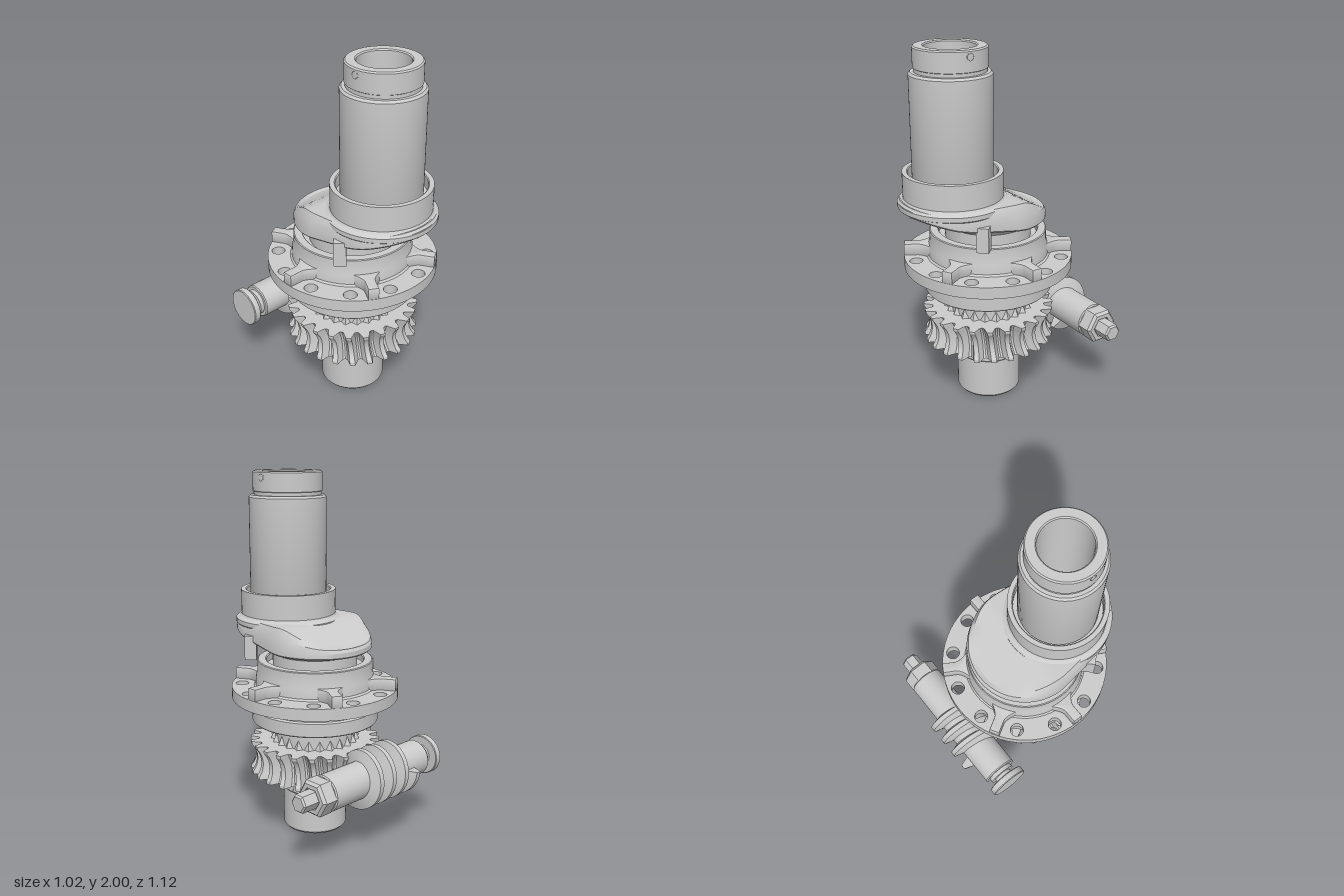
import * as THREE from 'three';
import { toCreasedNormals } from 'three/addons/utils/BufferGeometryUtils.js';

const X = -0.05, Z = 0.05, TOP_Z = 0.265; // main axis and offset pin axis
const material = new THREE.MeshStandardMaterial({ color: 0xcccccc });
const TAU = Math.PI * 2;

function part(name, geometry, parent, x = 0, y = 0, z = 0) {
  const mesh = new THREE.Mesh(toCreasedNormals(geometry, 0.5), material);
  mesh.name = name;
  mesh.position.set(x, y, z);
  parent.add(mesh);
  return mesh;
}

const lathe = (points, segments = 72) =>
  new THREE.LatheGeometry(points.map(([r, y]) => new THREE.Vector2(r, y)), segments);

// Skin a list of equal-length closed rings of [x, y, z]
function loft(rings) {
  const n = rings[0].length, index = [];
  for (let j = 0; j < rings.length - 1; j++) {
    for (let i = 0; i < n; i++) {
      const a = j * n + i, b = j * n + (i + 1) % n;
      index.push(a, b, b + n, a, b + n, a + n);
    }
  }
  const g = new THREE.BufferGeometry();
  g.setAttribute('position', new THREE.Float32BufferAttribute(rings.flat(2), 3));
  g.setIndex(index);
  return g;
}

// Throated worm wheel: tooth outline follows the worm's curvature at each height
function wormWheel() {
  const teeth = 24, half = 0.0925, rings = [];
  const ring = (d, tip, root) => {
    const pts = [];
    for (let k = 0; k < teeth; k++) {
      for (const [f, r] of [[-0.36, root], [-0.15, tip], [0.15, tip], [0.36, root], [0.5, root - 0.006]]) {
        const a = (k + f) / teeth * TAU - 0.35 * d;
        pts.push([r * Math.sin(a), d, r * Math.cos(a)]);
      }
    }
    return pts;
  };
  rings.push(ring(-half, 0.15, 0.15));
  for (let j = 0; j <= 12; j++) {
    const d = half * (j / 6 - 1);
    const tip = Math.min(0.366, 0.45 - Math.sqrt(0.115 ** 2 - d * d));
    rings.push(ring(d, tip, 0.45 - Math.sqrt(0.16 ** 2 - d * d)));
  }
  rings.push(ring(half, 0.15, 0.15));
  return loft(rings);
}

// Helical worm thread along x, trapezoid in section, closed at both ends
function wormThread(x0, x1, pitch) {
  const rings = [], steps = 140;
  for (let j = 0; j <= steps; j++) {
    const x = x0 + (x1 - x0) * j / steps;
    const t = Math.PI / 2 + (x - x0) / pitch * TAU;
    const at = (dx, r) => [x + dx, r * Math.cos(t), -r * Math.sin(t)];
    const section = [at(-0.014, 0.155), at(0.014, 0.155), at(0.036, 0.09), at(-0.036, 0.09)];
    const cap = section.map(() => at(0, 0.12));
    if (j === 0) rings.push(cap);
    rings.push(section);
    if (j === steps) rings.push(cap);
  }
  return loft(rings);
}

// Crank web: hull of two circles, rising from the main axis to the pin
function crankWeb() {
  const n = 96, mid = 0.16;
  const low = [[-0.3, 1.05], [0, 1.058], [0.2, 1.08], [0.4, 1.12], [0.56, 1.168]];
  const bottom = z => {
    const i = Math.max(1, low.findIndex(p => p[0] >= z));
    const [a, b] = [low[i - 1], low[i]];
    return a[1] + (b[1] - a[1]) * (z - a[0]) / (b[0] - a[0]);
  };
  const top = z => 1.095 + 0.11 * THREE.MathUtils.smoothstep(z, -0.25, 0.03);
  const ring = (s, height) => Array.from({ length: n }, (_, i) => {
    const a = i / n * TAU, c = Math.cos(a);
    const [cz, r] = TOP_Z * c + 0.293 > Z * c + 0.315 ? [TOP_Z, 0.293] : [Z, 0.315];
    const z = mid + s * (cz + r * c - mid);
    return [s * r * Math.sin(a), height(z), z];
  });
  const edge = z => bottom(z) + 0.034;
  const blend = z => (edge(z) + top(z)) / 2 + 0.012;
  return loft([
    ...[0, 0.3, 0.6, 0.85, 0.98].map(s => ring(s, bottom)),
    ring(1, z => bottom(z) + 0.008), ring(1, edge), ring(0.975, blend),
    ...[0.92, 0.8, 0.65, 0.5, 0.35, 0.2, 0].map(s => ring(s, top)),
  ]);
}

// Extrude a flat shape upward; shape y becomes -z
function slab(shape, depth, bevel = 0) {
  return new THREE.ExtrudeGeometry(shape, {
    depth: depth - 2 * bevel, curveSegments: 32, bevelEnabled: bevel > 0,
    bevelSize: bevel, bevelThickness: bevel, bevelOffset: -bevel, bevelSegments: 2,
  }).translate(0, 0, bevel).rotateX(-Math.PI / 2);
}

export function createModel() {
  const model = new THREE.Group();
  model.name = 'crankAssembly';

  const main = new THREE.Group();
  main.name = 'mainAxis';
  main.position.set(X, 0, Z);
  model.add(main);

  part('lowerShaft', lathe([[0, 0.42], [0.13, 0.34], [0.13, 0.01], [0.14, 0], [0.168, 0], [0.18, 0.014],
    [0.18, 0.235], [0.188, 0.243], [0.188, 0.31], [0.183, 0.32], [0.183, 0.4]]), main);
  part('wormWheel', wormWheel(), main, 0, 0.4325, 0);
  part('hub', lathe([[0.15, 0.5], [0.228, 0.5], [0.228, 0.66]]), main);

  // Small teeth around the hub and radial ribs below the wheel
  for (let k = 0; k < 24; k++) {
    const a = (k + 0.5) / 24 * TAU;
    const tooth = part('hubTooth', new THREE.ConeGeometry(0.028, 0.06, 4), main,
      0.225 * Math.sin(a), 0.552, 0.225 * Math.cos(a));
    tooth.rotation.y = a;
    const rib = part('wheelRib', new THREE.BoxGeometry(0.02, 0.012, 0.08), main,
      0.24 * Math.sin(a), 0.338, 0.24 * Math.cos(a));
    rib.rotation.y = a;
  }

  part('bearingSeat', lathe([[0.2, 0.642], [0.348, 0.642], [0.354, 0.648], [0.354, 0.72], [0.34, 0.726],
    [0.34, 0.738], [0.351, 0.742], [0.351, 0.78]]), main);

  // Flange with twelve bolt holes
  const disc = new THREE.Shape().absarc(0, 0, 0.464, 0, TAU);
  for (let k = 0; k < 12; k++) {
    const a = (k + 0.5) / 12 * TAU;
    disc.holes.push(new THREE.Path().absarc(0.408 * Math.cos(a), 0.408 * Math.sin(a), 0.036, 0, TAU, true));
  }
  part('flange', slab(disc, 0.065), main, 0, 0.775, 0);

  // Six ribs flaring into the boss
  const rib = new THREE.Shape();
  rib.moveTo(0.27, -0.13);
  rib.quadraticCurveTo(0.345, -0.03, 0.39, -0.028);
  rib.lineTo(0.462, -0.028);
  rib.lineTo(0.462, 0.028);
  rib.lineTo(0.39, 0.028);
  rib.quadraticCurveTo(0.345, 0.03, 0.27, 0.13);
  for (let k = 0; k < 6; k++) {
    part('flangeRib', slab(rib, 0.07, 0.006), main, 0, 0.835, 0).rotation.y = k * TAU / 6;
  }

  part('boss', lathe([[0.345, 0.835], [0.332, 0.85], [0.328, 0.9], [0.32, 0.925], [0.32, 0.986], [0.315, 0.99],
    [0.275, 0.99], [0.27, 0.985], [0.27, 0.95], [0.235, 0.95], [0.235, 1.03], [0.255, 1.055]]), main);

  // Offset crank pin
  part('crankWeb', crankWeb(), model, X, 0, 0);
  const pin = new THREE.Group();
  pin.name = 'crankPin';
  pin.position.set(X, 0, TOP_Z);
  model.add(pin);
  part('pinLip', lathe([[0, 1.165], [0.288, 1.165], [0.295, 1.172], [0.295, 1.196], [0.285, 1.205],
    [0.272, 1.21], [0.265, 1.22], [0.265, 1.355], [0.24, 1.355], [0.235, 1.35], [0.235, 1.29], [0.2, 1.29]]), pin);
  part('upperShaft', lathe([[0.205, 1.28], [0.213, 1.3], [0.213, 1.86], [0.203, 1.872], [0.185, 1.872],
    [0.185, 1.89], [0.19, 1.893], [0.19, 1.993], [0.183, 2], [0.138, 2], [0.132, 1.994], [0.132, 1.4], [0, 1.34]]), pin);

  // Oil hole rims
  for (const side of [-1, 1]) {
    part('upperOilHole', new THREE.TorusGeometry(0.018, 0.004, 8, 20), pin, side * 0.187, 1.967, 0).rotation.y = Math.PI / 2;
    part('lowerOilHole', new THREE.TorusGeometry(0.018, 0.004, 8, 20), main, side * 0.185, 0.262, 0).rotation.y = Math.PI / 2;
    // Stop blocks either side of the boss
    part('stopBlock', new THREE.BoxGeometry(0.065, 0.135, 0.065), main, side * 0.285, 1.062, 0.21).rotation.y = Math.PI / 4;
  }
  part('webKey', new THREE.BoxGeometry(0.018, 0.03, 0.13), model, X, 1.13, 0.46).rotation.x = -0.36;

  // Worm shaft, built along y then laid along x
  const worm = new THREE.Group();
  worm.name = 'worm';
  worm.position.set(0, 0.434, -0.406);
  model.add(worm);
  const along = g => g.rotateZ(-Math.PI / 2);
  part('wormShaft', along(lathe([[0, -0.483], [0.106, -0.483], [0.11, -0.479], [0.11, -0.447], [0.106, -0.443],
    [0.06, -0.443], [0.052, -0.43], [0.052, -0.415], [0.075, -0.415], [0.075, -0.392], [0.092, -0.392],
    [0.098, -0.386], [0.098, 0.328], [0.092, 0.335], [0, 0.335]], 48)), worm);
  part('wormThread', wormThread(-0.235, 0.095, 0.098), worm);
  part('hexCollar', along(lathe([[0, 0.33], [0.1, 0.33], [0.1, 0.405], [0.085, 0.42], [0.06, 0.42],
    [0.06, 0.405], [0, 0.405]], 6)), worm);
  part('hexDrive', along(lathe([[0, 0.4], [0.051, 0.4], [0.051, 0.5], [0.042, 0.51], [0, 0.51]], 6)), worm);

  return model;
}
